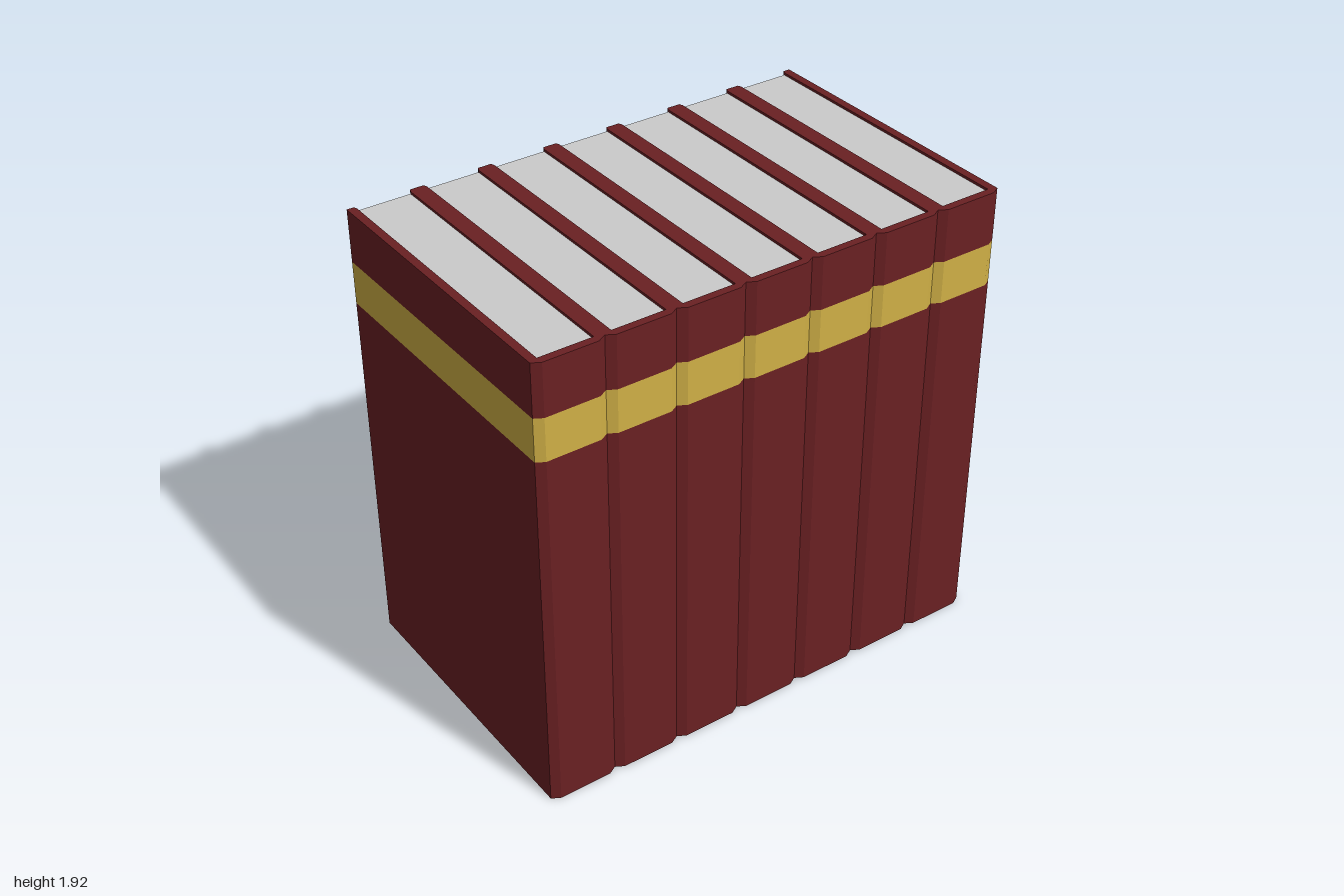
import * as THREE from 'three';

const COUNT = 7, W = 2 / COUNT, H = 1.925;
const BACK = -0.623, FRONT = 0.622, T = 0.034;
const BAND = [1.535, 1.71];

// U-shaped plan of a hardcover: two boards joined by a spine with chamfered corners
function coverPlan() {
  const h = W / 2, i = h - T, c = 0.006;
  const half = [ // [x, z] from the inside of the spine round to its outer face
    [i, 0.59], [i, BACK + 0.015], [i + c, BACK], [h, BACK], [h, 0.603], [i, FRONT],
  ];
  const mirrored = half.map(([x, z]) => [-x, z]).reverse();
  return new THREE.Shape([...half, ...mirrored].map(([x, z]) => new THREE.Vector2(x, -z)));
}

// Upright slice of the cover between two heights
function coverSlice(y0, y1) {
  const g = new THREE.ExtrudeGeometry(coverPlan(), { depth: y1 - y0, bevelEnabled: false });
  g.rotateX(-Math.PI / 2);
  g.translate(0, y0, 0);
  return g;
}

export function createModel() {
  const model = new THREE.Group();
  model.name = 'bookSet';

  const leather = new THREE.MeshStandardMaterial({ color: 0x6a2023, flatShading: true });
  const gold = new THREE.MeshStandardMaterial({ color: 0xd0b046, flatShading: true });
  const paper = new THREE.MeshStandardMaterial({ color: 0xcccccc, flatShading: true });

  const pageBack = -0.61, pageFront = 0.59, inset = 0.01;
  const pages = new THREE.BoxGeometry(W - 2 * T, H - 2 * inset, pageFront - pageBack);
  pages.translate(0, H / 2, (pageFront + pageBack) / 2);

  const parts = [
    ['lowerCover', coverSlice(0, BAND[0]), leather],
    ['goldBand', coverSlice(...BAND), gold],
    ['upperCover', coverSlice(BAND[1], H), leather],
    ['pages', pages, paper],
  ];

  // Identical volumes standing side by side
  for (let n = 0; n < COUNT; n++) {
    const book = new THREE.Group();
    book.name = `book${n + 1}`;
    book.position.x = -1 + W * (n + 0.5);
    for (const [name, geometry, material] of parts) {
      const mesh = new THREE.Mesh(geometry, material);
      mesh.name = name;
      book.add(mesh);
    }
    model.add(book);
  }
  return model;
}
